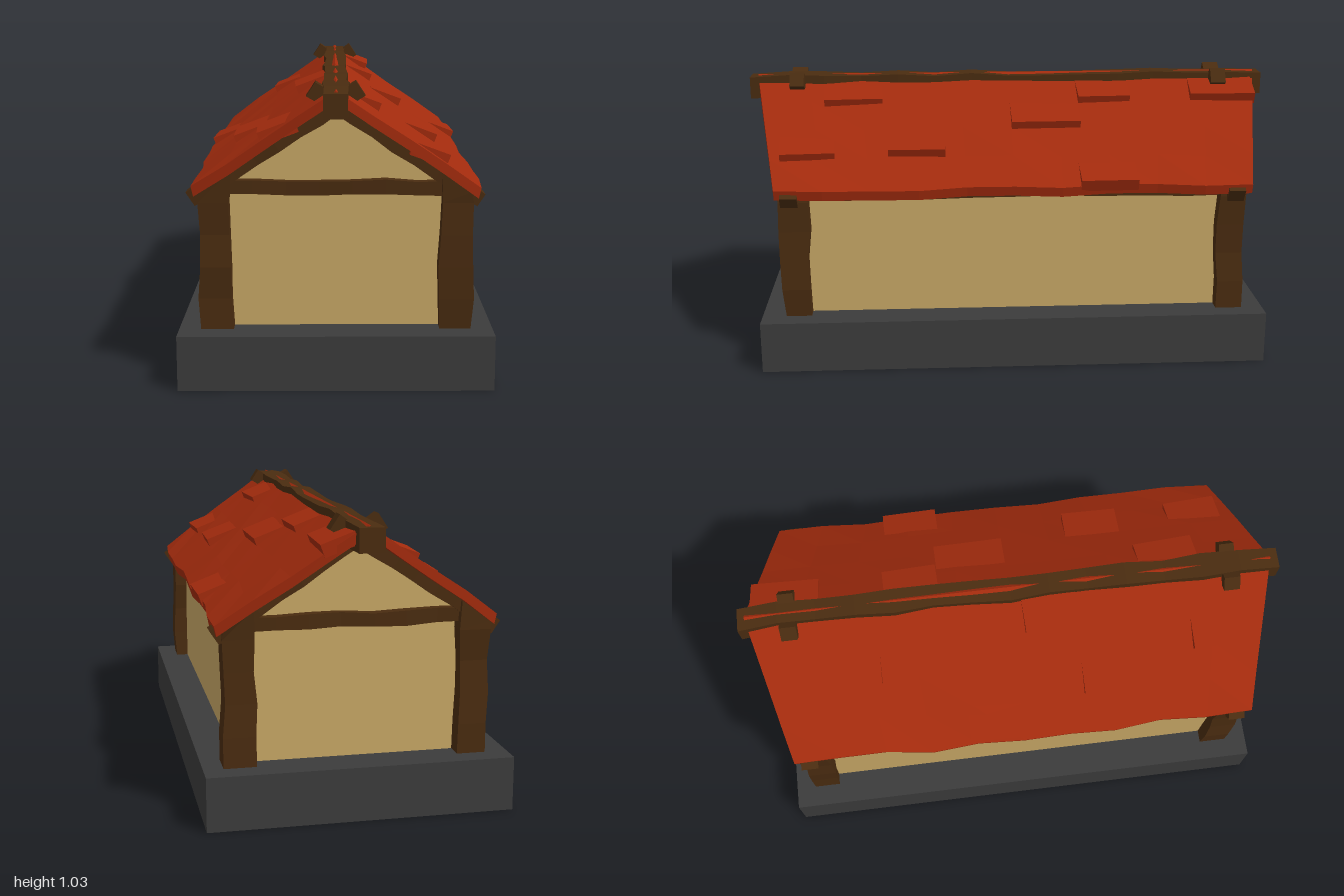
import * as THREE from 'three';

const mat = (name, color) => {
  const m = new THREE.MeshStandardMaterial({ color, flatShading: true });
  m.name = name;
  return m;
};

// Repeatable noise in -1..1
const noise = (a, b, c = 0) => {
  const s = Math.sin(a * 127.1 + b * 311.7 + c * 74.7) * 43758.5453;
  return (s - Math.floor(s)) * 2 - 1;
};

// Roof top height at a distance from the ridge
const roofY = (x) => 1.015 - 0.685 * Math.abs(x);

export function createModel() {
  const wood = mat('dark wood', 0x4a2c10);
  const red = mat('red roof', 0xa32b0d);
  const plaster = mat('tan plaster', 0xc8a866);
  const stone = mat('dark stone', 0x3c3c3c);

  const model = new THREE.Group();
  model.name = 'house';
  const add = (name, geometry, material) => {
    const mesh = new THREE.Mesh(geometry, material);
    mesh.name = name;
    model.add(mesh);
    return mesh;
  };

  // Rough-hewn timber running between two points
  const beam = (name, from, to, w, d, segs, amp, seed) => {
    const a = new THREE.Vector3(...from), b = new THREE.Vector3(...to);
    const dir = b.clone().sub(a), len = dir.length();
    const g = new THREE.BoxGeometry(w, len, d, 1, segs, 1);
    const p = g.attributes.position;
    for (let i = 0; i < p.count; i++) {
      const ring = Math.round((p.getY(i) / len + 0.5) * segs);
      const sx = Math.sign(p.getX(i)), sz = Math.sign(p.getZ(i));
      p.setX(i, p.getX(i) + amp * noise(ring, seed, sx));
      p.setZ(i, p.getZ(i) + amp * noise(ring, seed + 9, sz));
    }
    g.applyQuaternion(new THREE.Quaternion().setFromUnitVectors(new THREE.Vector3(0, 1, 0), dir.normalize()));
    g.translate(...a.add(b).multiplyScalar(0.5).toArray());
    return add(name, g, wood);
  };

  // Foundation slab
  const base = new THREE.BoxGeometry(1.065, 0.19, 1.875);
  base.translate(0, 0.095, 0);
  add('foundation', base, stone);

  // Plastered walls with gables
  const outline = new THREE.Shape([[-0.41, 0.18], [0.41, 0.18], [0.41, 0.675], [0, 0.945], [-0.41, 0.675]]
    .map(([x, y]) => new THREE.Vector2(x, y)));
  const walls = new THREE.ExtrudeGeometry(outline, { depth: 1.6, bevelEnabled: false });
  walls.translate(0, 0, -0.8);
  add('walls', walls, plaster);

  // Corner posts, cut to the roof slope
  let seed = 1;
  for (const sx of [-1, 1]) for (const sz of [-1, 1]) {
    const post = beam('cornerPost', [sx * 0.406, 0.185, sz * 0.805], [sx * 0.406, 0.74, sz * 0.805], 0.108, 0.1, 5, 0.008, seed++);
    const p = post.geometry.attributes.position;
    for (let i = 0; i < p.count; i++) p.setY(i, Math.min(p.getY(i), roofY(p.getX(i)) - 0.04));
  }

  for (const s of [-1, 1]) {
    // Cross beams under the gables and along the eaves
    beam('gableBeam', [-0.39, 0.675, s * 0.805], [0.39, 0.675, s * 0.805], 0.048, 0.06, 7, 0.005, 11 + s);
    beam('eaveBeam', [s * 0.405, 0.655, -0.8], [s * 0.405, 0.655, 0.8], 0.06, 0.05, 10, 0.005, 15 + s);
    // Rafters crossing above the ridge
    for (const sz of [-1, 1])
      beam('rafter', [s * 0.485, 0.635, sz * 0.815], [-s * 0.082, 1.008, sz * 0.815], 0.055, 0.06, 8, 0.004, 20 + s + 3 * sz);
  }

  // Ridge beam
  beam('ridgeBeam', [0, 0.968, -0.995], [0, 0.968, 0.998], 0.086, 0.088, 14, 0.007, 31);

  // Roof slopes, longer at the ridge than at the eaves
  for (const s of [1, -1]) {
    const nu = 4, nv = 10;
    const g = new THREE.BoxGeometry(1, 1, 1, nu, 1, nv);
    const p = g.attributes.position;
    for (let i = 0; i < p.count; i++) {
      const u = p.getX(i) + 0.5, v = p.getZ(i), top = p.getY(i) > 0;
      const iu = Math.round(u * nu), iv = Math.round((v + 0.5) * nv);
      const x = u * (0.485 + 0.012 * noise(iv, 3, s));
      const y = roofY(x) - (top ? 0 : 0.036) + 0.006 * u * noise(iu, iv, s);
      const z = v * 2 * (0.97 - 0.1 * u);
      p.setXYZ(i, x - (top ? 0 : 0.008 * u), y, z);
    }
    const slope = add('roofSlope', g, red);
    if (s < 0) slope.rotation.y = Math.PI;
  }

  // Raised shingles: side, lower edge x, z start, z end
  const shingles = [
    [1, 0.15, -0.95, -0.7], [1, 0.15, -0.46, -0.26], [1, 0.26, -0.26, 0], [1, 0.37, 0.25, 0.46],
    [1, 0.15, 0.49, 0.71], [1, 0.375, 0.66, 0.86], [1, 0.495, -0.45, -0.24],
    [-1, 0.26, -0.69, -0.5], [-1, 0.155, 0.04, 0.24], [-1, 0.37, 0.24, 0.47],
    [-1, 0.265, 0.66, 0.87], [-1, 0.485, -0.2, 0],
  ];
  const tilt = 0.36, len = 0.13, thick = 0.046;
  const c = Math.cos(tilt), sn = Math.sin(tilt);
  shingles.forEach(([s, x, z0, z1], i) => {
    const lift = 0.036 + 0.006 * noise(i, 5);
    const shingle = add('shingle', new THREE.BoxGeometry(len, thick, z1 - z0), red);
    shingle.position.set(
      s * (x - c * len / 2 - sn * thick / 2),
      roofY(x) + lift + sn * len / 2 - c * thick / 2,
      (z0 + z1) / 2);
    shingle.rotation.set(0, 0.06 * noise(i, 7), -s * tilt);
  });

  return model;
}
